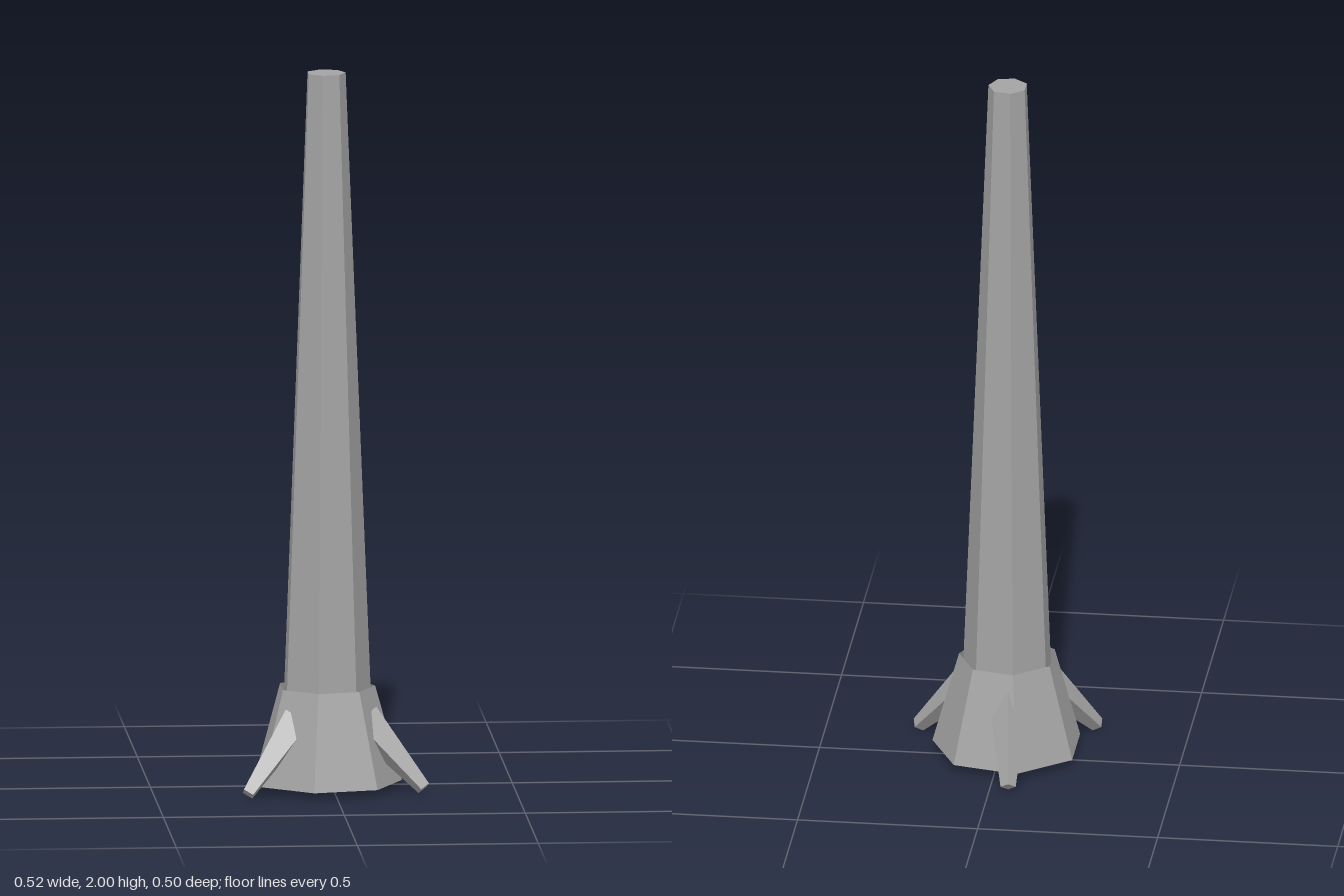
import * as THREE from 'three';

export function createModel() {
  const model = new THREE.Group();
  model.name = 'treeTrunk';

  const bark = new THREE.MeshStandardMaterial({ color: 0xa3a3a3, flatShading: true, side: THREE.DoubleSide });
  bark.name = 'greyBark';

  const SIDES = 7;
  const baseY = 0.02;

  // The trunk stands a little off centre; one corner points to +x
  const tree = new THREE.Group();
  tree.name = 'tree';
  tree.position.set(-0.018, 0, 0.045);
  model.add(tree);

  function add(name, geometry) {
    const mesh = new THREE.Mesh(geometry, bark);
    mesh.name = name;
    tree.add(mesh);
    return mesh;
  }

  // Open seven-sided tube between two heights
  function tube(rTop, rBottom, y0, y1) {
    const g = new THREE.CylinderGeometry(rTop, rBottom, y1 - y0, SIDES, 1, true, Math.PI / 2);
    return g.translate(0, (y0 + y1) / 2, 0);
  }

  // Tall tapered trunk, hollow from below, closed on top
  add('trunk', tube(0.0545, 0.134, baseY, 2));
  add('trunkTop', new THREE.CircleGeometry(0.0545, SIDES).rotateX(-Math.PI / 2).rotateY(0))
    .position.y = 2;
  // CircleGeometry turns the opposite way in z, which the symmetry about x hides

  // Flared open skirt around the foot
  add('flaredBase', tube(0.136, 0.21, baseY, 0.285));

  // Three four-sided roots leaning outwards and down
  const rootLength = 0.255;
  [23, 143, -97].forEach((degrees, i) => {
    const g = new THREE.CylinderGeometry(0.053, 0.021, rootLength, 4);
    g.translate(0, rootLength / 2, 0);
    g.rotateZ(THREE.MathUtils.degToRad(43.8));
    g.translate(0.285, 0.015, 0);
    add(`root${i + 1}`, g).rotation.y = -THREE.MathUtils.degToRad(degrees);
  });

  return model;
}
